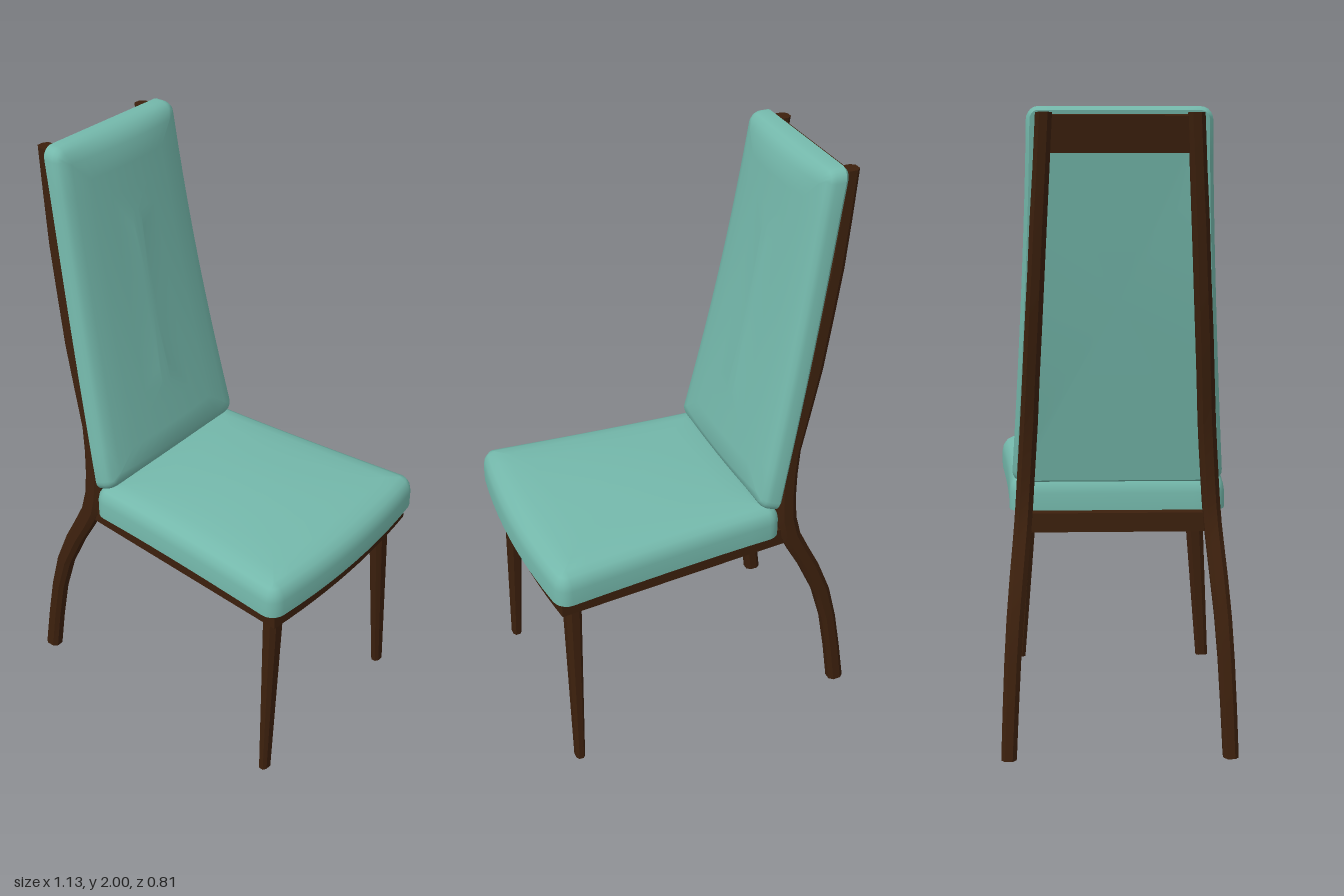
import * as THREE from 'three';
import { toCreasedNormals } from 'three/addons/utils/BufferGeometryUtils.js';

// Joins equal-length loops of points into a closed solid; loops run counter-clockwise seen from the last one
function loft(loops, crease) {
  const n = loops[0].length;
  const pos = loops.flat(2);
  const index = [];
  for (let k = 0; k < loops.length - 1; k++) {
    for (let i = 0; i < n; i++) {
      const j = (i + 1) % n;
      const a = k * n + i, b = k * n + j, c = a + n, d = b + n;
      index.push(a, b, d, a, d, c);
    }
  }
  const last = (loops.length - 1) * n;
  for (const [base, flip] of [[0, true], [last, false]]) {
    const loop = loops[base / n];
    const centre = [0, 1, 2].map((c) => loop.reduce((s, p) => s + p[c], 0) / n);
    const m = pos.length / 3;
    pos.push(...centre);
    for (let i = 0; i < n; i++) {
      const a = base + i, b = base + (i + 1) % n;
      index.push(...(flip ? [m, b, a] : [m, a, b]));
    }
  }
  const geo = new THREE.BufferGeometry();
  geo.setAttribute('position', new THREE.Float32BufferAttribute(pos, 3));
  geo.setIndex(index);
  return toCreasedNormals(geo, crease);
}

// Rounded rectangle loop with subdivided sides, centred on 0
function roundedLoop(hl, hw, r) {
  const pts = [];
  const corners = [[1, 1], [-1, 1], [-1, -1], [1, -1]];
  corners.forEach(([sx, sy], k) => {
    for (let i = 0; i <= 5; i++) {
      const a = (k + i / 5) * Math.PI / 2;
      pts.push([sx * (hl - r) + r * Math.cos(a), sy * (hw - r) + r * Math.sin(a)]);
    }
    const from = pts[pts.length - 1];
    const [nx, ny] = corners[(k + 1) % 4];
    const a = (k + 1) * Math.PI / 2;
    const to = [nx * (hl - r) + r * Math.cos(a), ny * (hw - r) + r * Math.sin(a)];
    for (let i = 1; i < 10; i++) {
      pts.push([from[0] + (to[0] - from[0]) * i / 10, from[1] + (to[1] - from[1]) * i / 10]);
    }
  });
  return pts;
}

// Padded slab: rings are [inset, height, crown], shaped by warp(t, s, height, crown)
function cushion(hl, hw, r, rings, warp) {
  return loft(rings.map(([inset, h, crown]) =>
    roundedLoop(hl - inset, hw - inset, Math.max(r - inset, 0.004))
      .map(([p, q]) => warp((p + hl) / (2 * hl), q / hw, h, crown))), 0.7);
}

// Post with chamfered rectangular sections [y, x, z, half depth, half width]
function post(sections, side) {
  const octagon = [[1, 0.5], [1, -0.5], [0.5, -1], [-0.5, -1], [-1, -0.5], [-1, 0.5], [-0.5, 1], [0.5, 1]];
  return loft(sections.map(([y, x, z, hx, hz]) =>
    octagon.map(([u, v]) => [x + u * hx, y, side * z + v * hz])), 0.6);
}

// Plan outline of the seat frame: tapered to the rear, bowed at the front edge
function framePlan(PathType, inset) {
  const path = new PathType();
  path.moveTo(-0.325 + inset, -0.315 + inset);
  path.lineTo(0.515 - inset, -0.375 + inset);
  path.quadraticCurveTo(0.565 - inset, 0, 0.515 - inset, 0.375 - inset);
  path.lineTo(-0.325 + inset, 0.315 - inset);
  path.closePath();
  return path;
}

function plate(shape, depth, y) {
  const geo = new THREE.ExtrudeGeometry(shape, { depth, bevelEnabled: false, curveSegments: 12 });
  return geo.rotateX(-Math.PI / 2).translate(0, y, 0);
}

export function createModel() {
  const chair = new THREE.Group();
  chair.name = 'chair';
  const upholstery = new THREE.MeshStandardMaterial({ color: 0x74b8ab });
  upholstery.name = 'teal upholstery';
  const wood = new THREE.MeshStandardMaterial({ color: 0x3c200d });
  wood.name = 'dark wood';
  const add = (name, geo, mat) => {
    const mesh = new THREE.Mesh(geo, mat);
    mesh.name = name;
    chair.add(mesh);
    return mesh;
  };

  // Seat cushion: wider and bowed at the front, gently domed
  const seatRings = [
    [0, 0.733, 0], [0, 0.79, 0], [0.005, 0.815, 0], [0.018, 0.834, 0.2], [0.04, 0.844, 0.7],
    [0.08, 0.848, 1], [0.15, 0.848, 1], [0.23, 0.848, 1], [0.31, 0.848, 1], [0.36, 0.848, 1],
  ];
  add('seatCushion', cushion(0.405, 0.38, 0.045, seatRings, (t, s, h, crown) => [
    -0.283 + 0.815 * t + 0.033 * t * t * (1 - s * s),
    h + crown * 0.025 * (1 - s * s) * (1 - 0.8 * (2 * t - 1) ** 2),
    -s * (0.348 + 0.06 * t ** 1.4),
  ]), upholstery);

  // Backrest cushion: leans back, narrows upward, front face bulges
  const backRings = [
    [0.012, 0, 0], [0, 0.012, 0], [0, 0.045, 0], [0.006, 0.06, 0.1], [0.02, 0.07, 0.4],
    [0.05, 0.073, 1], [0.12, 0.073, 1], [0.2, 0.073, 1], [0.28, 0.073, 1],
  ];
  add('backrestCushion', cushion(0.59, 0.3, 0.04, backRings, (t, s, h, crown) => [
    -0.28 - 0.21 * t - 0.012 * Math.sin(Math.PI * t) + h + crown * 0.022 * (1 - s * s),
    0.82 + 1.18 * t + (1 - t) * h * 0.4,
    s * (0.278 + 0.062 * (1 - t) ** 1.4),
  ]), upholstery);

  // Seat frame and the recessed board beneath the cushion
  const frame = framePlan(THREE.Shape, 0);
  frame.holes.push(framePlan(THREE.Path, 0.05));
  add('seatFrame', plate(frame, 0.062, 0.672), wood);
  add('seatBoard', plate(framePlan(THREE.Shape, 0.045), 0.02, 0.71), wood);

  // Rear legs sweep forward to the seat and continue as backrest posts
  const rear = [
    [0, -0.538, 0.347, 0.028, 0.024], [0.15, -0.518, 0.341, 0.027, 0.025],
    [0.3, -0.494, 0.334, 0.027, 0.026], [0.43, -0.461, 0.326, 0.03, 0.027],
    [0.55, -0.411, 0.316, 0.034, 0.028], [0.63, -0.369, 0.309, 0.036, 0.028],
    [0.7, -0.336, 0.303, 0.036, 0.028], [0.77, -0.321, 0.298, 0.035, 0.028],
    [0.85, -0.318, 0.293, 0.034, 0.028], [0.94, -0.322, 0.287, 0.034, 0.028],
    [1.03, -0.334, 0.281, 0.032, 0.028], [1.17, -0.368, 0.273, 0.034, 0.027],
    [1.32, -0.404, 0.264, 0.035, 0.027], [1.5, -0.438, 0.253, 0.035, 0.026],
    [1.66, -0.467, 0.244, 0.034, 0.026], [1.82, -0.491, 0.234, 0.031, 0.025],
    [1.98, -0.512, 0.225, 0.028, 0.025],
  ];
  // Front legs taper and splay outward
  const front = [[0, 0.47, 0.347, 0.016, 0.022], [0.7, 0.458, 0.303, 0.028, 0.035]];
  for (const [side, label] of [[1, 'Left'], [-1, 'Right']]) {
    add('rearLegAndPost' + label, post(rear, side), wood);
    add('frontLeg' + label, post(front, side), wood);
  }

  // Cross rail joining the tops of the posts
  const rail = add('topRail', new THREE.BoxGeometry(0.034, 0.11, 0.44), wood);
  rail.position.set(-0.489, 1.92, 0);
  rail.rotation.z = 0.16;

  return chair;
}
